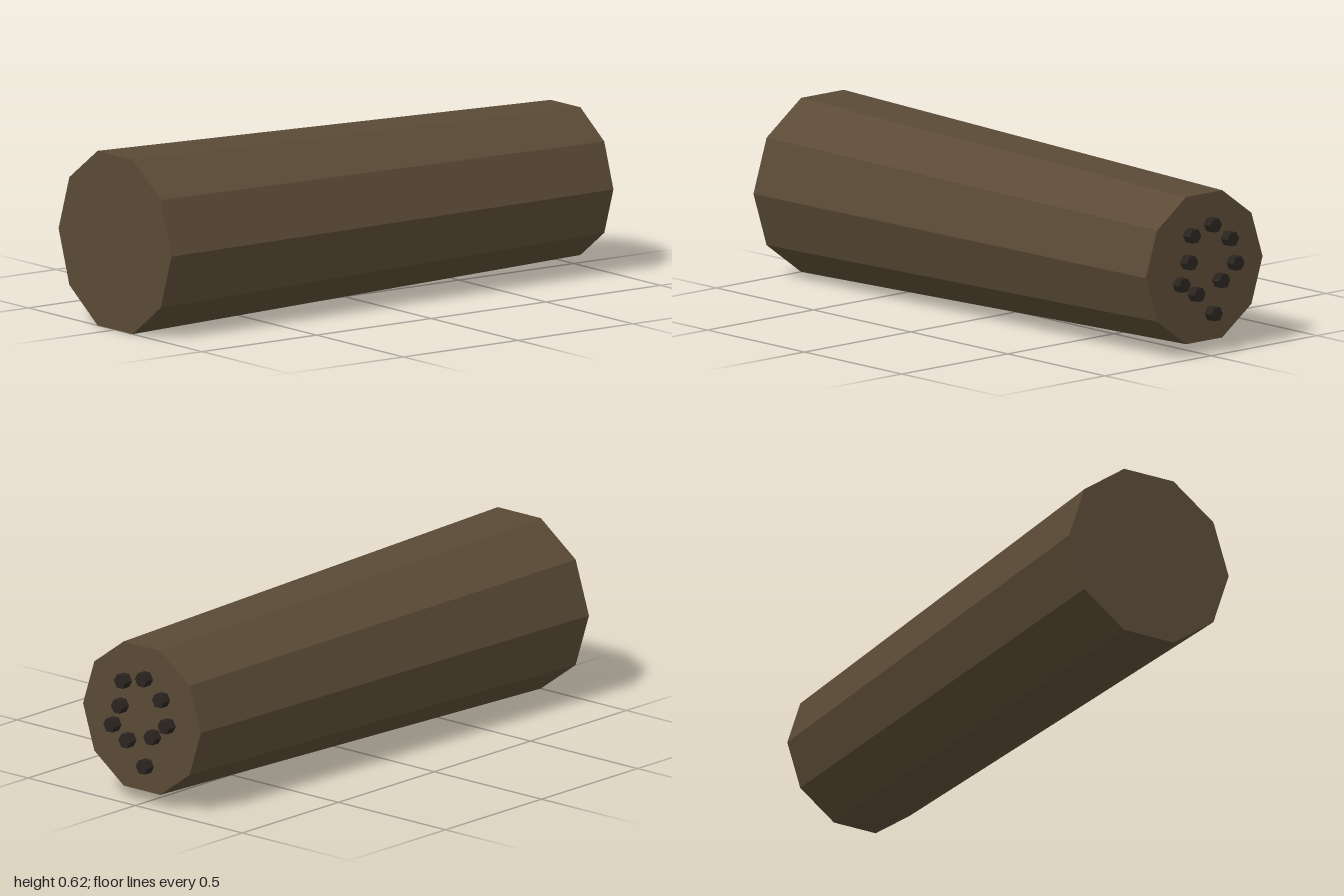
import * as THREE from 'three';

const AXIS_Y = 0.31;
const FACE_X = 0.965;

export function createModel() {
  const group = new THREE.Group();
  const bodyMaterial = new THREE.MeshStandardMaterial({ color: 0x5a4a36, flatShading: true });
  const studMaterial = new THREE.MeshStandardMaterial({ color: 0x2a2420, flatShading: true });

  // Cylinder lying along x, its first radius at the +x end
  function addBar(name, rEnd, rStart, x0, x1, sides, y, z, material) {
    const geometry = new THREE.CylinderGeometry(rEnd, rStart, x1 - x0, sides);
    geometry.rotateZ(-Math.PI / 2);
    const mesh = new THREE.Mesh(geometry, material);
    mesh.name = name;
    mesh.position.set((x0 + x1) / 2, y, z);
    group.add(mesh);
  }

  // Tapered ten-sided body
  addBar('body', 0.275, 0.325, -1, FACE_X, 10, AXIS_Y, 0, bodyMaterial);

  // Small hexagonal studs scattered over the narrow end: [y, z]
  const studs = [
    [0.435, 0.073], [0.46, -0.025], [0.4, -0.105],
    [0.342, 0.087], [0.31, -0.131], [0.267, 0.122],
    [0.224, 0.052], [0.257, -0.064], [0.144, -0.029],
  ];
  studs.forEach(([y, z], i) =>
    addBar(`stud${i + 1}`, 0.027, 0.027, FACE_X - 0.01, 1, 6, y, z, studMaterial));

  return group;
}
